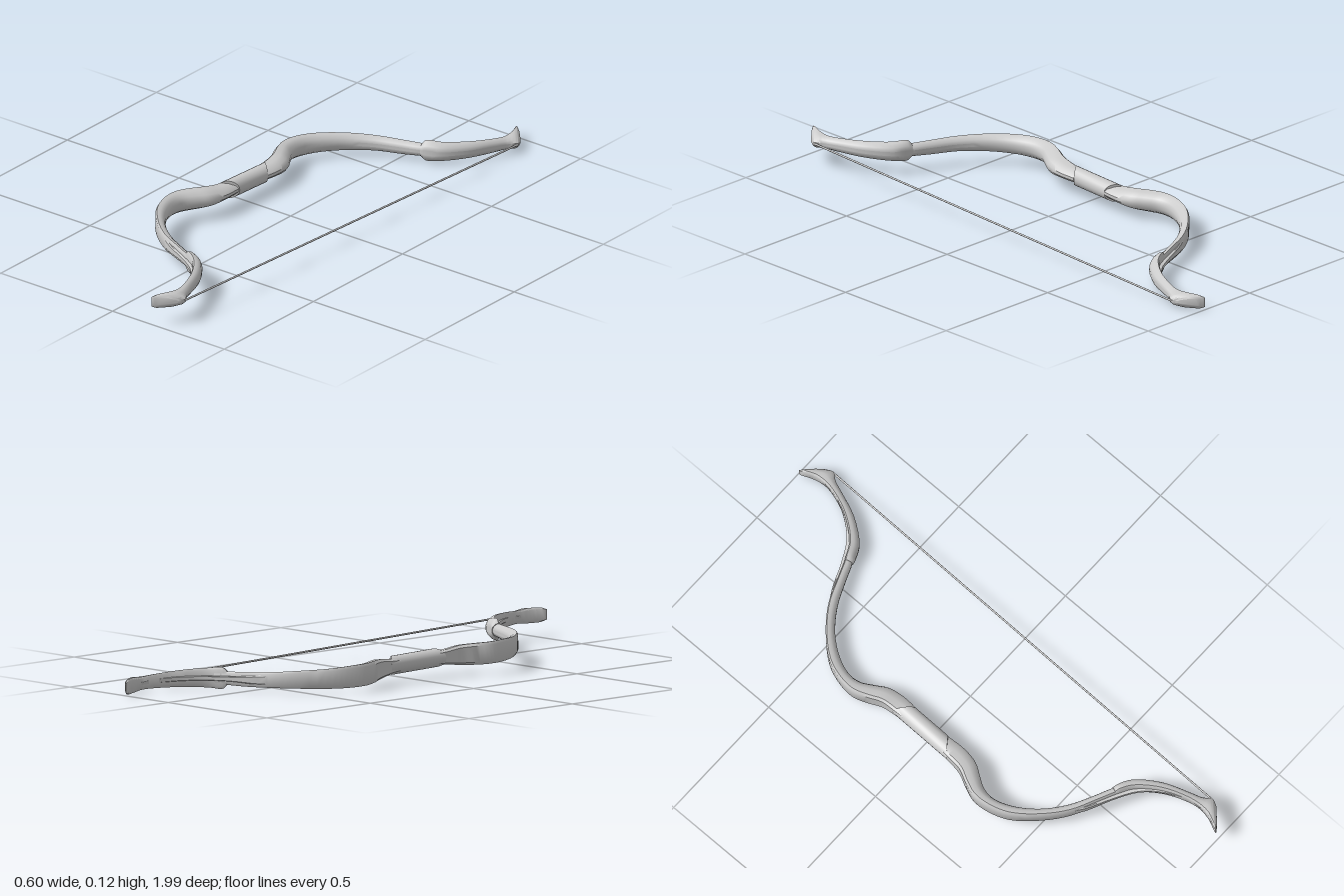
import * as THREE from 'three';
import { toCreasedNormals } from 'three/addons/utils/BufferGeometryUtils.js';

const material = new THREE.MeshStandardMaterial({ color: 0xcccccc });

// Limb cross-section: u runs from the back (0) to the belly (1), v is height
const half = [[0, 0.75], [0.14, 1], [0.5, 0.93], [0.85, 0.62], [1, 0.22]];
const section = [...half.map(([u, v]) => [u, -v]), ...half.slice().reverse()];

// Rows: [back x, back z, belly x, belly z, centre y, half height]
const limbRows = [
  [-0.24, 0.085, -0.182, 0.07, 0.006, 0.024],
  [-0.243, 0.13, -0.178, 0.145, 0.006, 0.027],
  [-0.25, 0.185, -0.19, 0.208, 0.006, 0.035],
  [-0.273, 0.235, -0.215, 0.25, 0.006, 0.038],
  [-0.291, 0.29, -0.242, 0.298, 0.006, 0.039],
  [-0.286, 0.355, -0.246, 0.347, 0.006, 0.039],
  [-0.258, 0.43, -0.222, 0.412, 0.005, 0.036],
  [-0.185, 0.515, -0.166, 0.488, 0.004, 0.032],
  [-0.1, 0.58, -0.085, 0.552, 0.002, 0.028],
  [-0.005, 0.622, 0.002, 0.595, 0, 0.026],
  [0.06, 0.65, 0.072, 0.626, 0, 0.023],
  [0.12, 0.682, 0.13, 0.665, 0, 0.018],
];
const tipRows = [
  [0.056, 0.648, 0.068, 0.621, 0, 0.025],
  [0.07, 0.655, 0.085, 0.626, 0, 0.038],
  [0.115, 0.682, 0.135, 0.652, 0, 0.035],
  [0.175, 0.757, 0.2, 0.738, 0, 0.03],
  [0.212, 0.842, 0.237, 0.83, -0.002, 0.025],
  [0.222, 0.895, 0.255, 0.878, -0.004, 0.023],
  [0.215, 0.945, 0.271, 0.9, -0.005, 0.027],
  [0.194, 0.997, 0.275, 0.91, -0.005, 0.024],
  [0.215, 0.984, 0.264, 0.935, -0.005, 0.014],
];
const spineRows = [
  [-0.17, 0.525, -0.16, 0.5, 0.004, 0.025],
  [-0.06, 0.605, -0.045, 0.58, 0, 0.016],
  [0.035, 0.65, 0.045, 0.625, 0, 0.009],
  [0.12, 0.7, 0.13, 0.675, 0, 0.008],
  [0.178, 0.77, 0.19, 0.75, 0, 0.008],
  [0.215, 0.85, 0.226, 0.84, -0.002, 0.008],
  [0.222, 0.9, 0.23, 0.89, -0.004, 0.006],
];

// Smooth loft through the rows; side = -1 mirrors it across z
function loft(name, rows, side) {
  const curve = (f) => new THREE.CatmullRomCurve3(rows.map(f));
  const back = curve((r) => new THREE.Vector3(r[0], r[5], r[1]));
  const belly = curve((r) => new THREE.Vector3(r[2], r[4], r[3]));
  const steps = (rows.length - 1) * 4, n = section.length;
  const pos = [], index = [];
  const tri = (a, b, c) => (side > 0 ? index.push(a, b, c) : index.push(a, c, b));
  for (let i = 0; i <= steps; i++) {
    const o = back.getPoint(i / steps), p = belly.getPoint(i / steps);
    for (const [u, v] of section) {
      pos.push(o.x + (p.x - o.x) * u, p.y + v * o.y, side * (o.z + (p.z - o.z) * u));
    }
  }
  for (let i = 0; i < steps; i++) {
    for (let j = 0; j < n; j++) {
      const a = i * n + j, b = i * n + (j + 1) % n;
      tri(a, b, b + n);
      tri(a, b + n, a + n);
    }
  }
  // End caps
  const last = steps * n;
  for (let j = 1; j < n - 1; j++) {
    tri(0, j + 1, j);
    tri(last, last + j, last + j + 1);
  }
  const geo = new THREE.BufferGeometry();
  geo.setAttribute('position', new THREE.Float32BufferAttribute(pos, 3));
  geo.setIndex(index);
  return addName(new THREE.Mesh(toCreasedNormals(geo, 0.7), material), name);
}

function addName(object, name) {
  object.name = name;
  return object;
}

// Wrapped handle whose ends are cut on a slant, longer at the back
function makeGrip() {
  const geo = new THREE.CylinderGeometry(0.033, 0.033, 0.2, 20, 1);
  geo.rotateX(Math.PI / 2);
  const p = geo.attributes.position;
  for (let i = 0; i < p.count; i++) {
    p.setZ(i, Math.sign(p.getZ(i)) * (0.103 - p.getX(i) * 0.8));
  }
  const mesh = new THREE.Mesh(toCreasedNormals(geo, 0.7), material);
  mesh.position.set(-0.213, 0.006, -0.01);
  return addName(mesh, 'grip');
}

function makeString() {
  const geo = new THREE.CylinderGeometry(0.0035, 0.0035, 1.82, 8);
  geo.rotateX(Math.PI / 2);
  const mesh = new THREE.Mesh(geo, material);
  mesh.position.set(0.273, -0.005, 0);
  return addName(mesh, 'bowString');
}

export function createModel() {
  const bow = addName(new THREE.Group(), 'bow');
  bow.add(makeGrip(), makeString());
  for (const side of [1, -1]) {
    const label = side > 0 ? 'front' : 'back';
    bow.add(
      loft(label + 'Limb', limbRows, side),
      loft(label + 'Tip', tipRows, side),
      loft(label + 'Spine', spineRows, side),
    );
  }
  // The bow rests slightly tilted and turned
  bow.rotation.set(-0.03, -0.023, 0);
  bow.position.set(0, 0.065, -0.0045);
  const model = addName(new THREE.Group(), 'model');
  model.add(bow);
  return model;
}
